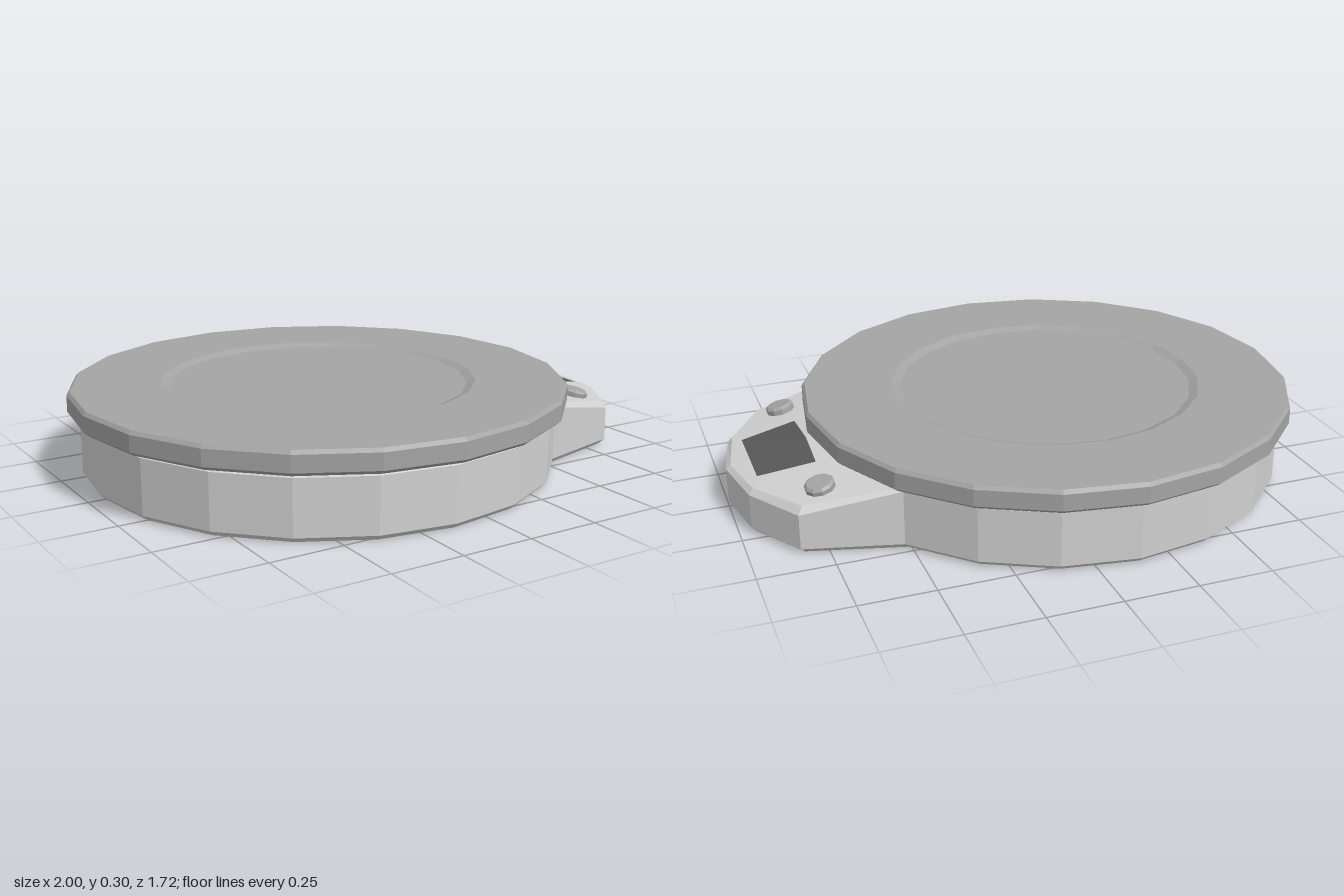
import * as THREE from 'three';

const mat = (name, color) => {
  const m = new THREE.MeshStandardMaterial({ color, flatShading: true });
  m.name = name;
  return m;
};

// Non-indexed geometry from a list of triangles of [x, y, z] corners
function fromTriangles(tris) {
  const g = new THREE.BufferGeometry();
  g.setAttribute('position', new THREE.Float32BufferAttribute(tris.flat(2), 3));
  g.computeVertexNormals();
  return g;
}

const CX = -0.14; // centre of the round part
const SIDES = 20;

// Body: round base running into a sloped control nose at +x
function bodyGeometry() {
  const rings = [[], [], [], []]; // bottom, lower wall, upper wall, top edge
  const add = (x, z, inX, inZ, wallY, topY) => {
    rings[0].push([inX, 0, inZ]);
    rings[1].push([x, 0.018, z]);
    rings[2].push([x, wallY, z]);
    rings[3].push([inX, topY, inZ]);
  };
  for (let k = 2; k <= SIDES - 2; k++) {
    const a = (k / SIDES) * Math.PI * 2, c = Math.cos(a), s = Math.sin(a);
    add(CX + 0.82 * c, 0.82 * s, CX + 0.802 * c, 0.802 * s, 0.205, 0.216);
  }
  const nose = [[0.84, -0.4, 0.163], [0.96, -0.21, 0.157], [1, 0, 0.152], [0.96, 0.21, 0.157], [0.84, 0.4, 0.163]];
  for (const [x, z, topY] of nose) add(x, z, x - 0.016, z * 0.965, 0.138, topY);

  const tris = [], n = rings[0].length;
  const low = [CX, 0, 0], crown = [0.72, 0.208, 0];
  for (let i = 0; i < n; i++) {
    const j = (i + 1) % n;
    for (let r = 0; r < 3; r++) {
      const a = rings[r][i], b = rings[r][j], c = rings[r + 1][j], d = rings[r + 1][i];
      tris.push([a, d, b], [b, d, c]);
    }
    tris.push([low, rings[0][i], rings[0][j]]);
    tris.push([crown, rings[3][j], rings[3][i]]);
  }
  return fromTriangles(tris);
}

// Display: thin face following the crowned panel
function screenGeometry() {
  const back = [0.725, 0.211, 0], front = [0.92, 0.169, 0], tris = [];
  for (const s of [1, -1]) {
    const fc = [0.92, 0.168, 0.145 * s], bc = [0.73, 0.2, 0.17 * s];
    const pair = [[back, fc, front], [back, bc, fc]];
    tris.push(...(s > 0 ? pair : pair.map(([a, b, c]) => [a, c, b])));
  }
  return fromTriangles(tris);
}

export function createModel() {
  const bodyMat = mat('light grey', 0xd0d0d0);
  const plateMat = mat('mid grey', 0xa4a4a4);
  const screenMat = mat('dark grey', 0x585858);

  const model = new THREE.Group();
  model.name = 'kitchenScale';
  const part = (name, geometry, material) => {
    const m = new THREE.Mesh(geometry, material);
    m.name = name;
    model.add(m);
    return m;
  };

  part('body', bodyGeometry(), bodyMat);

  // Weighing plate with a shallow round recess
  const profile = [[0, 0.219], [0.845, 0.219], [0.86, 0.232], [0.86, 0.288], [0.85, 0.3], [0.545, 0.3], [0.515, 0.288], [0, 0.288]];
  const plate = new THREE.LatheGeometry(profile.map(([x, y]) => new THREE.Vector2(x, y)), SIDES);
  part('plate', plate, plateMat).position.x = CX;

  part('screen', screenGeometry(), screenMat);

  // Bevelled buttons, tilted to lie on the panel
  const buttonProfile = [[0, -0.02], [0.05, -0.02], [0.05, 0.016], [0.041, 0.024], [0, 0.024]];
  for (const s of [1, -1]) {
    const g = new THREE.LatheGeometry(buttonProfile.map(([x, y]) => new THREE.Vector2(x, y)), 10);
    const button = part(s > 0 ? 'leftSideButton' : 'rightSideButton', g, plateMat);
    button.position.set(0.75, 0.182, 0.32 * s);
    button.rotation.set(0.12 * s, 0, -0.22);
  }
  return model;
}
